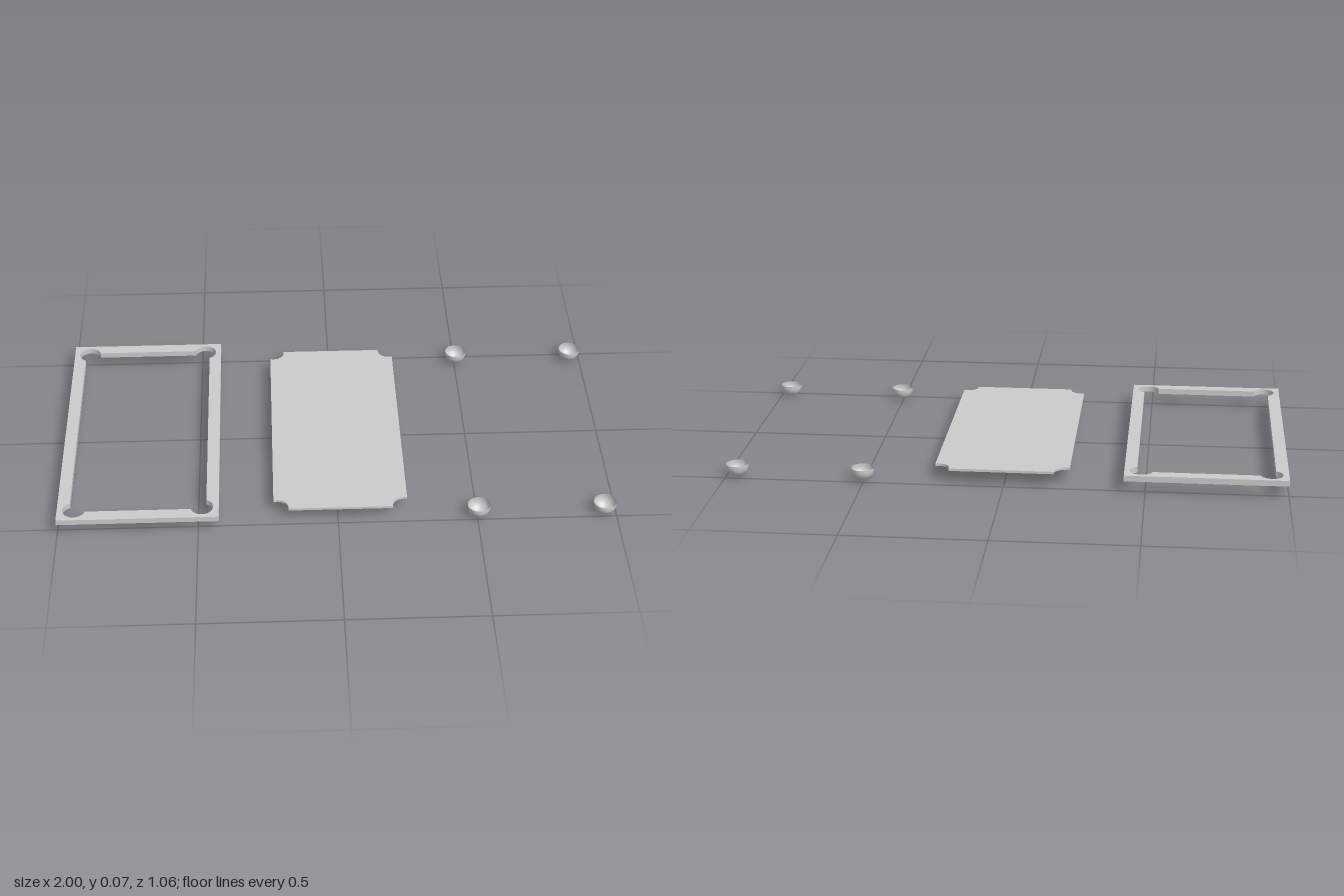
import * as THREE from 'three';

const HX = 0.227, HZ = 0.473, R = 0.0405; // foot seat offsets and radius
const BASE = 0.047;                       // underside of frame and plate

const material = new THREE.MeshStandardMaterial({ color: 0xcccccc });
const openMaterial = new THREE.MeshStandardMaterial({ color: 0xcccccc, side: THREE.DoubleSide });

// Rectangle whose corners are cut by the round foot seats.
// bulge true: the arcs swell outwards; false: they bite inwards.
function corneredOutline(w, d, bulge) {
  const dx = Math.sqrt(R * R - (d - HZ) ** 2);
  const dz = Math.sqrt(R * R - (w - HX) ** 2);
  const points = [];
  const steps = 20;
  for (const [sx, sz] of [[1, 1], [-1, 1], [-1, -1], [1, -1]]) {
    const start = Math.atan2(-dz, w - HX);
    let end = Math.atan2(d - HZ, -dx);
    if (!bulge) end -= Math.PI * 2;
    const arc = [];
    for (let i = 0; i <= steps; i++) {
      const a = start + (end - start) * i / steps;
      arc.push(new THREE.Vector2(sx * (HX + R * Math.cos(a)), sz * (HZ + R * Math.sin(a))));
    }
    if (sx * sz < 0) arc.reverse();
    points.push(...arc);
  }
  return points;
}

// Extrudes a flat outline upwards from the base level
function slab(name, shape, height, x) {
  const geometry = new THREE.ExtrudeGeometry(shape, { depth: height, bevelEnabled: false });
  geometry.rotateX(-Math.PI / 2);
  const mesh = new THREE.Mesh(geometry, material);
  mesh.name = name;
  mesh.position.set(x, BASE, 0);
  return mesh;
}

export function createModel() {
  const model = new THREE.Group();
  model.name = 'framePlateAndFeet';

  // Rectangular frame with round seats in the corners of its opening
  const w = 0.2875, d = 0.529;
  const frameShape = new THREE.Shape([[-w, -d], [w, -d], [w, d], [-w, d]].map(p => new THREE.Vector2(...p)));
  frameShape.holes.push(new THREE.Path(corneredOutline(0.243, 0.483, true)));
  model.add(slab('frame', frameShape, 0.021, -0.7125));

  // Thin plate with round notches at its corners
  model.add(slab('plate', new THREE.Shape(corneredOutline(0.24, 0.481, false)), 0.009, 0.0095));

  // Four hollow domed feet with a short straight lip
  const profile = [];
  for (let i = 0; i <= 14; i++) {
    const a = i / 14 * Math.PI / 2;
    profile.push(new THREE.Vector2(R * Math.sin(a), R - R * Math.cos(a)));
  }
  profile.push(new THREE.Vector2(R, BASE));
  const footGeometry = new THREE.LatheGeometry(profile, 40);
  const feet = new THREE.Group();
  feet.name = 'feet';
  for (const sx of [-1, 1]) for (const sz of [-1, 1]) {
    const foot = new THREE.Mesh(footGeometry, openMaterial);
    foot.name = 'foot';
    foot.position.set(0.7325 + sx * HX, 0, sz * HZ);
    feet.add(foot);
  }
  model.add(feet);
  return model;
}
